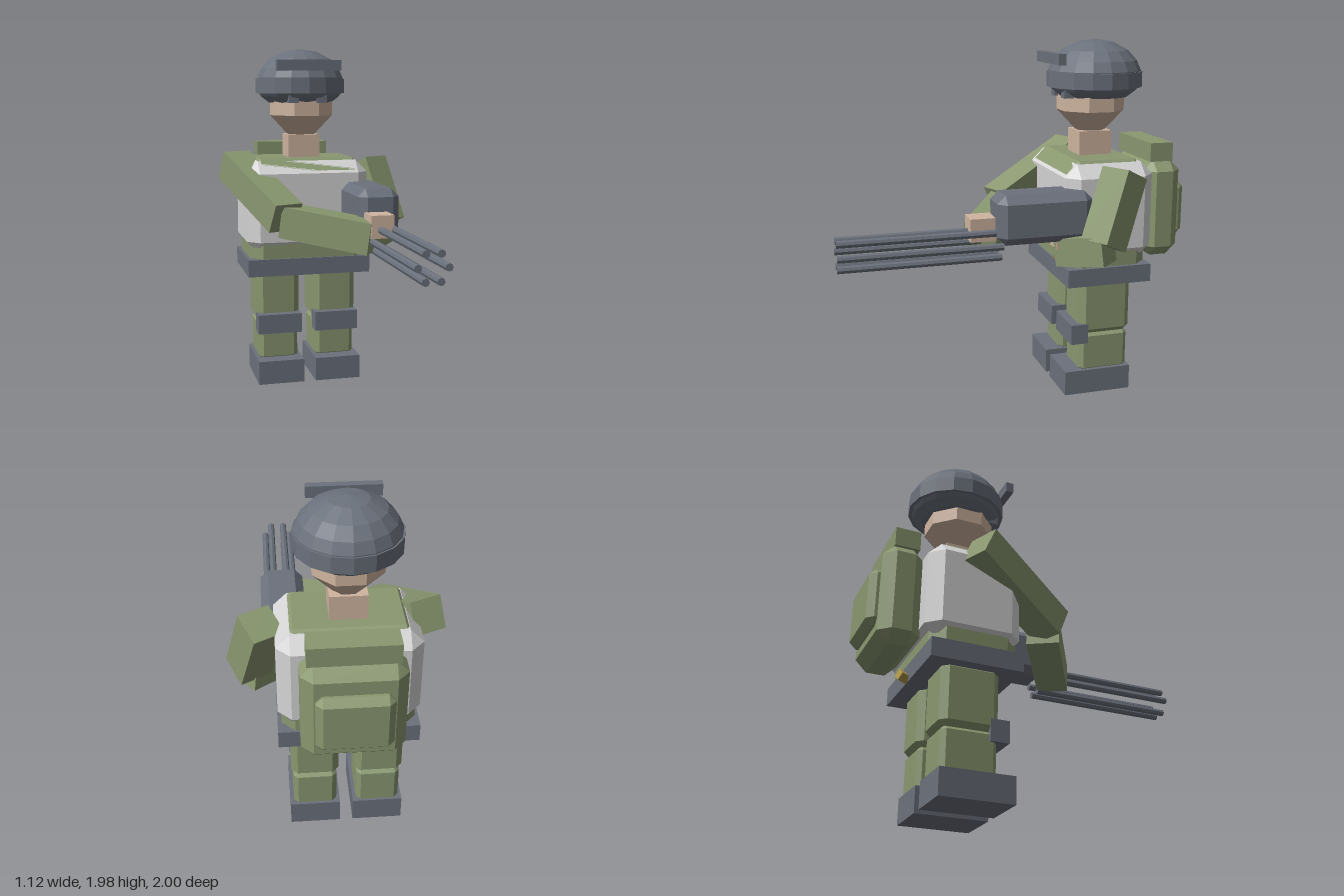
import * as THREE from 'three';
import { ConvexGeometry } from 'three/addons/geometries/ConvexGeometry.js';

const mat = (name, color) => new THREE.MeshStandardMaterial({ name, color, flatShading: true });

// Box given by its [min, max] ranges, with every edge cut off by c
function chamferBox([x0, x1], [y0, y1], [z0, z1], c) {
  const h = [(x1 - x0) / 2, (y1 - y0) / 2, (z1 - z0) / 2];
  const pts = [];
  for (const sx of [-1, 1]) for (const sy of [-1, 1]) for (const sz of [-1, 1])
    for (let axis = 0; axis < 3; axis++) {
      const p = h.map((v, i) => (i === axis ? v : v - c));
      pts.push(new THREE.Vector3(p[0] * sx, p[1] * sy, p[2] * sz));
    }
  return new ConvexGeometry(pts).translate((x0 + x1) / 2, (y0 + y1) / 2, (z0 + z1) / 2);
}

function plainBox([x0, x1], [y0, y1], [z0, z1]) {
  return new THREE.BoxGeometry(x1 - x0, y1 - y0, z1 - z0)
    .translate((x0 + x1) / 2, (y0 + y1) / 2, (z0 + z1) / 2);
}

export function createModel() {
  const model = new THREE.Group();
  model.name = 'soldier';
  const green = mat('fatigueGreen', 0x8a9870);
  const grey = mat('gearGrey', 0x6b717c);
  const skin = mat('skin', 0xd0b5a0);
  const pale = mat('vestPale', 0xd6d6d6);
  const brass = mat('brass', 0xb0954a);

  const add = (name, geometry, material) => {
    const m = new THREE.Mesh(geometry, material);
    m.name = name;
    model.add(m);
    return m;
  };
  const box = (name, material, x, y, z, c = 0) =>
    add(name, c ? chamferBox(x, y, z, c) : plainBox(x, y, z), material);

  // Square-section limb between two points
  const limb = (name, a, b, w) => {
    const from = new THREE.Vector3(...a), to = new THREE.Vector3(...b);
    const m = add(name, new THREE.BoxGeometry(w, w, from.distanceTo(to)), green);
    m.position.copy(from).add(to).multiplyScalar(0.5);
    m.lookAt(to);
    return m;
  };

  // Legs, knee pads and boots
  for (const [side, x] of [['right', -0.222], ['left', 0.123]]) {
    const wide = (w) => [x - w, x + w];
    box(side + 'Boot', grey, wide(0.137), [0, 0.14], [-0.635, -0.245]);
    box(side + 'LowerLeg', green, wide(0.118), [0.12, 0.36], [-0.625, -0.335], 0.025);
    box(side + 'UpperLeg', green, wide(0.129), [0.345, 0.69], [-0.635, -0.33], 0.035);
    box(side + 'KneePad', grey, wide(0.131), [0.3, 0.415], [-0.38, -0.28]);
  }

  // Torso, vest and belt
  box('torso', green, [-0.395, 0.295], [0.69, 1.345], [-0.71, -0.245], 0.07);
  box('vest', pale, [-0.413, 0.313], [0.79, 1.33], [-0.74, -0.23], 0.07);
  box('belt', grey, [-0.415, 0.315], [0.66, 0.76], [-0.72, -0.235]);
  box('centrePouch', green, [-0.13, 0.03], [0.87, 1.03], [-0.25, -0.175]);
  box('sidePouch', green, [0.08, 0.22], [0.87, 1.03], [-0.25, -0.175]);

  // Brass fittings
  for (const [name, x, y, z] of [['frontBrass', 0.25, 0.83, -0.21], ['backBrass', -0.03, 0.695, -0.74]]) {
    const m = add(name, new THREE.BoxGeometry(0.075, 0.045, 0.05), brass);
    m.position.set(x, y, z);
    m.rotation.set(0.3, 0.2, 0.6);
  }

  // Backpack
  box('backpack', green, [-0.307, 0.207], [0.76, 1.315], [-0.95, -0.73], 0.06);
  box('backpackPocket', green, [-0.24, 0.14], [0.86, 1.18], [-1, -0.91], 0.035);
  box('bedroll', green, [-0.27, 0.175], [1.31, 1.415], [-0.895, -0.76]);

  // Neck and head with tapering jaw
  box('neck', skin, [-0.145, 0.045], [1.33, 1.478], [-0.575, -0.385]);
  const k = 1 / Math.cos(Math.PI / 8);
  const face = [[0, 1.475], [0.075, 1.475], [0.175, 1.59], [0.175, 1.75], [0, 1.75]]
    .map(([r, y]) => new THREE.Vector2(r * k, y));
  const head = add('head', new THREE.LatheGeometry(face, 8, Math.PI / 8), skin);
  head.position.set(-0.05, 0, -0.48);

  // Helmet with brim band, front rail and strap tabs
  const dome = [[0, 1.665], [0.19, 1.665], [0.235, 1.7], [0.257, 1.73], [0.26, 1.81],
    [0.235, 1.865], [0.185, 1.92], [0.1, 1.965], [0, 1.98]]
    .map(([r, y]) => new THREE.Vector2(r, y));
  const helmet = add('helmet', new THREE.LatheGeometry(dome, 16), grey);
  const band = add('helmetBand', new THREE.CylinderGeometry(0.268, 0.268, 0.085, 16), grey);
  helmet.position.set(-0.05, 0, -0.5);
  band.position.set(-0.05, 1.762, -0.5);
  box('helmetRail', grey, [-0.24, 0.137], [1.85, 1.91], [-0.268, -0.225]);
  for (const x of [-0.13, 0.035])
    box('strapTab', grey, [x - 0.03, x + 0.03], [1.665, 1.71], [-0.34, -0.285]);

  // Arms and hands
  limb('rightUpperArm', [-0.455, 1.3, -0.51], [-0.24, 1.04, 0.01], 0.175);
  limb('rightForearm', [-0.23, 1.02, -0.04], [0.2, 0.95, 0.23], 0.175);
  box('rightHand', skin, [0.165, 0.295], [0.955, 1.08], [0.165, 0.305]);
  limb('leftUpperArm', [0.375, 1.3, -0.52], [0.455, 0.93, -0.375], 0.175);
  limb('leftForearm', [0.47, 0.91, -0.4], [0.26, 0.87, -0.21], 0.155);
  box('leftHand', skin, [0.21, 0.33], [0.89, 1.01], [-0.28, -0.16]);

  // Rotary gun: housing and six barrels
  box('gunHousing', grey, [0.14, 0.375], [0.935, 1.205], [-0.355, 0.17], 0.045);
  for (let i = 0; i < 6; i++) {
    const a = (i * Math.PI) / 3;
    const barrel = add('gunBarrel', new THREE.CylinderGeometry(0.02, 0.02, 0.86, 8), grey);
    barrel.rotation.x = Math.PI / 2;
    barrel.position.set(0.26 + 0.077 * Math.cos(a), 0.933 + 0.077 * Math.sin(a), 0.57);
  }
  return model;
}
